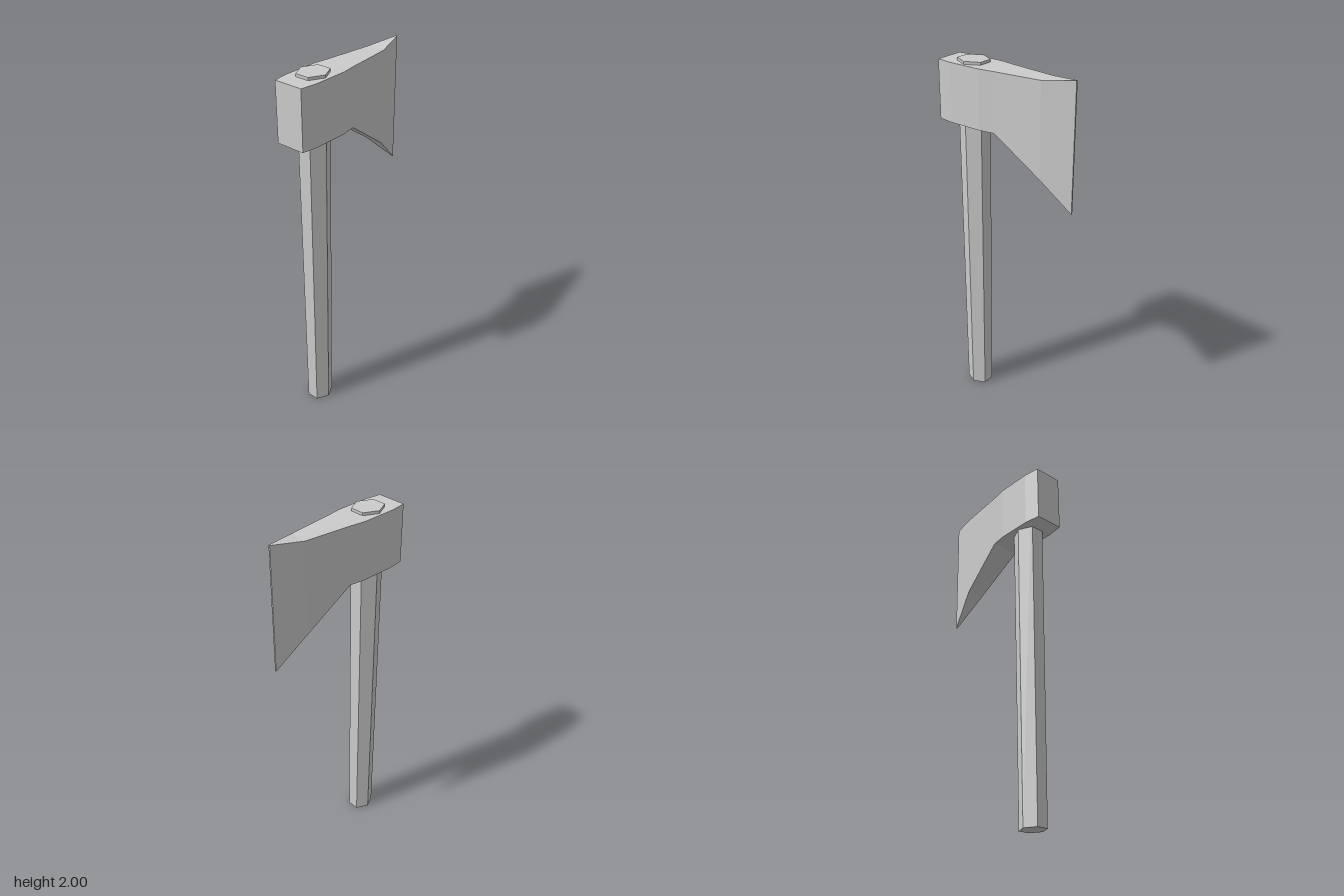
import * as THREE from 'three';

// Solid lofted along x from rectangular sections [x, bottom, top, halfThickness]
function loftSections(sections) {
  const rings = sections.map(([x, b, t, h]) => [[x, b, h], [x, t, h], [x, t, -h], [x, b, -h]]);
  const pos = [];
  const quad = (a, b, c, d) => pos.push(...a, ...b, ...c, ...a, ...c, ...d);
  for (let i = 0; i < rings.length - 1; i++) {
    const p = rings[i], q = rings[i + 1];
    for (let k = 0; k < 4; k++) {
      const n = (k + 1) % 4;
      quad(p[k], q[k], q[n], p[n]);
    }
  }
  const first = rings[0], last = rings[rings.length - 1];
  quad(first[0], first[1], first[2], first[3]);
  quad(last[3], last[2], last[1], last[0]);
  const geo = new THREE.BufferGeometry();
  geo.setAttribute('position', new THREE.Float32BufferAttribute(pos, 3));
  geo.computeVertexNormals();
  return geo;
}

export function createModel() {
  const group = new THREE.Group();
  group.name = 'axe';
  const material = new THREE.MeshStandardMaterial({ color: 0xcccccc, flatShading: true });

  // Tapered six-sided handle, poking slightly out of the head
  const height = 1.995;
  const handleGeo = new THREE.CylinderGeometry(0.078, 0.066, height, 6);
  handleGeo.scale(1.145, 1, 1);
  const handle = new THREE.Mesh(handleGeo, material);
  handle.name = 'handle';
  handle.position.set(-0.231, height / 2, 0);
  group.add(handle);

  // Head: blunt poll, thick eye, then a bearded blade narrowing to the edge
  const head = new THREE.Mesh(loftSections([
    [-0.4, 1.662, 1.98, 0.081],
    [-0.31, 1.662, 1.98, 0.093],
    [-0.122, 1.662, 1.98, 0.093],
    [-0.035, 1.662, 1.98, 0.08],
    [0.23, 1.472, 1.98, 0.05],
    [0.4, 1.312, 2.0, 0.004],
  ]), material);
  head.name = 'axeHead';
  group.add(head);

  return group;
}
